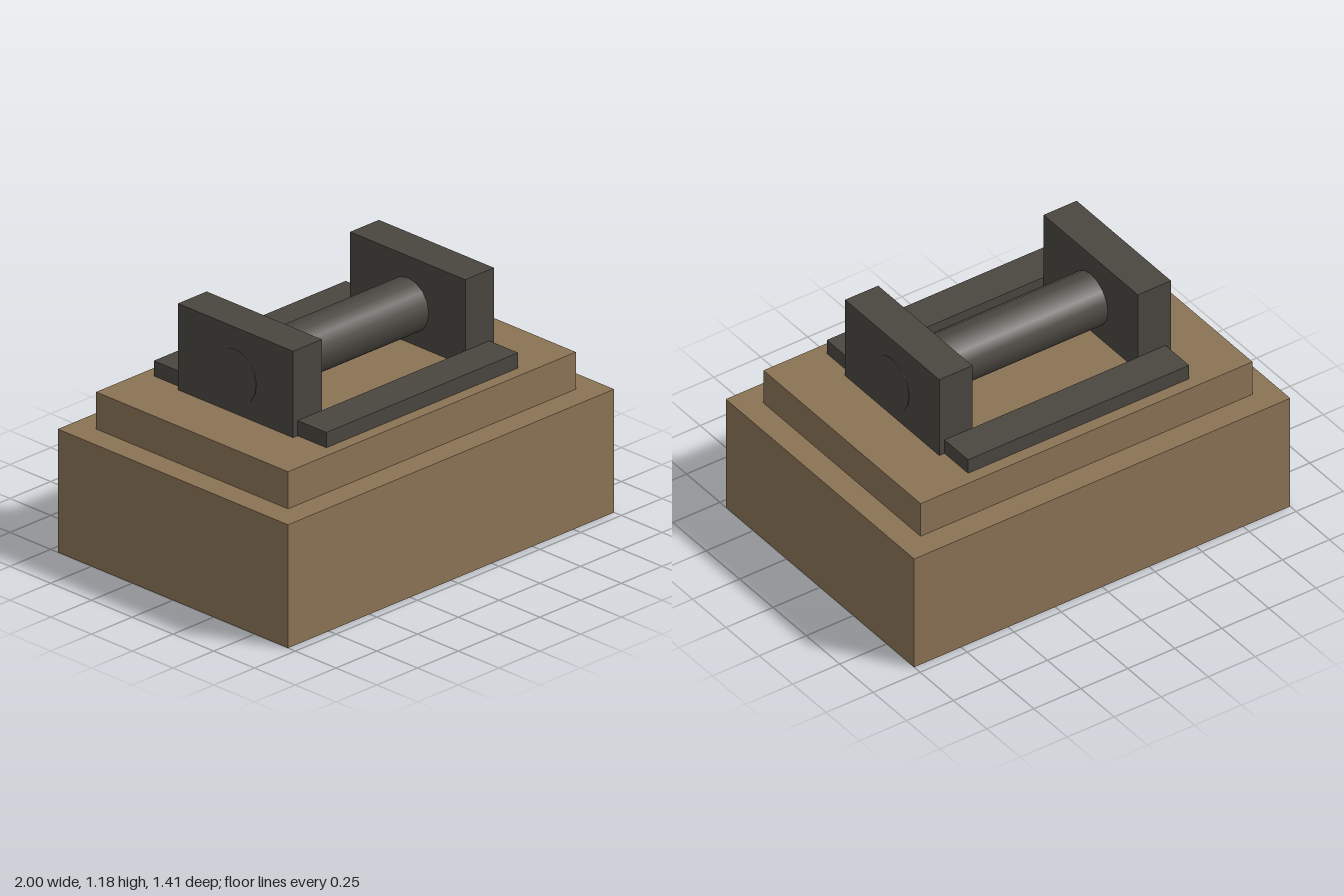
import * as THREE from 'three';

export function createModel() {
  const model = new THREE.Group();
  const stone = new THREE.MeshStandardMaterial({ name: 'brown stone', color: 0x8b7355 });
  const iron = new THREE.MeshStandardMaterial({ name: 'dark iron', color: 0x4a4640 });

  // Box given its size, the height of its underside and its x, z centre
  function block(name, material, [w, h, d], bottom, x = 0, z = 0) {
    const mesh = new THREE.Mesh(new THREE.BoxGeometry(w, h, d), material);
    mesh.name = name;
    mesh.position.set(x, bottom + h / 2, z);
    model.add(mesh);
  }

  // Stepped plinth
  block('plinthBase', stone, [2, 0.588, 1.412], 0);
  block('plinthStep', stone, [1.765, 0.177, 1.177], 0.588);

  // Frame: two tall end blocks and two low rails
  for (const [side, label] of [[1, 'left'], [-1, 'right']]) {
    block(label + 'EndBlock', iron, [0.176, 0.412, 0.706], 0.765, side * 0.528);
  }
  for (const [side, label] of [[1, 'front'], [-1, 'back']]) {
    block(label + 'Rail', iron, [1.176, 0.073, 0.176], 0.765, 0, side * 0.441);
  }

  // Roller running through both end blocks, just proud of their outer faces
  const roller = new THREE.Mesh(new THREE.CylinderGeometry(0.129, 0.129, 1.238, 16), iron);
  roller.name = 'roller';
  roller.rotation.z = Math.PI / 2;
  roller.position.y = 0.944;
  model.add(roller);

  return model;
}
